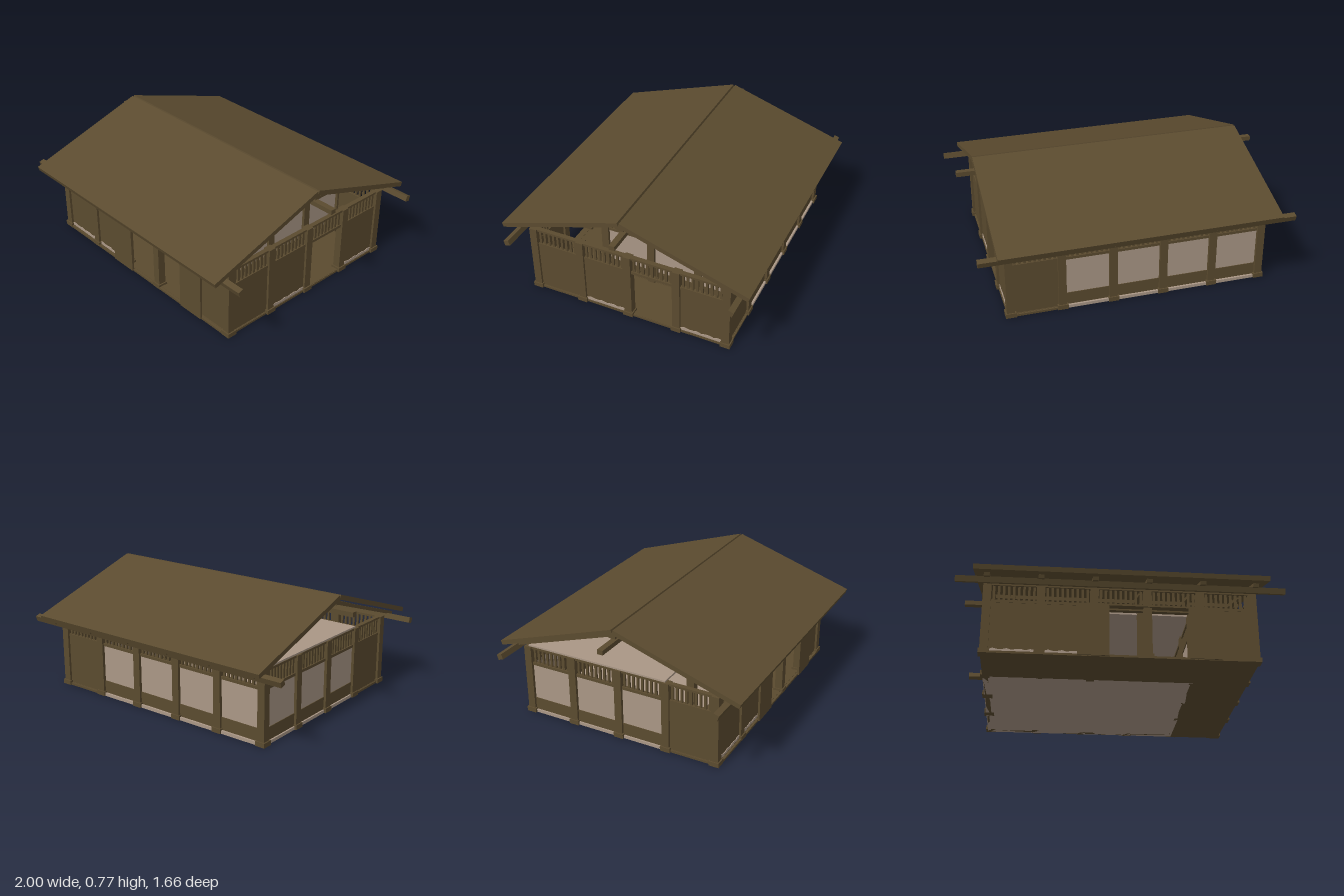
import * as THREE from 'three';

export function createModel() {
  const model = new THREE.Group();
  model.name = 'house';
  const wood = new THREE.MeshStandardMaterial({ color: 0x5b4b2f });
  wood.name = 'dark wood';
  const paper = new THREE.MeshStandardMaterial({ color: 0xaa9786 });
  paper.name = 'pale paper';

  function box(parent, name, mat, w, h, d, x, y, z) {
    const m = new THREE.Mesh(new THREE.BoxGeometry(w, h, d), mat);
    m.name = name;
    m.position.set(x, y, z);
    parent.add(m);
    return m;
  }

  // Post grid
  const xs = [-0.81, -0.486, -0.162, 0.162, 0.486, 0.81];
  const zs = [0.645, 0.316, -0.012, -0.341, -0.67];
  const POST = 0.05, TOP = 0.47;

  // Earth floor (L-shaped) and raised matted room
  box(model, 'frontEarthFloor', wood, 1.66, 0.014, 0.36, 0, 0.007, 0.496);
  box(model, 'sideEarthFloor', wood, 0.344, 0.014, 1.01, 0.658, 0.007, -0.189);
  box(model, 'roomFloor', paper, 1.316, 0.02, 1.01, -0.172, 0.01, -0.189);

  // Posts with footings: outer ring and the room edge
  for (const [i, x] of xs.entries()) {
    for (const [j, z] of zs.entries()) {
      const outer = i === 0 || i === 5 || j === 0 || j === 4;
      if (!outer && i !== 4 && j !== 1) continue;
      box(model, 'post', wood, POST, TOP, POST, x, TOP / 2, z);
      if (outer) box(model, 'footing', wood, 0.066, 0.03, 0.066, x, 0.015, z);
    }
  }

  // Uneven pale strip along the foot of a plank wall
  function footStrip(parent, len) {
    const s = new THREE.Shape();
    s.moveTo(-len / 2, 0.016);
    s.lineTo(len / 2, 0.016);
    for (let k = 0; k <= 10; k++) {
      s.lineTo(len / 2 - (len * k) / 10, 0.035 + 0.005 * Math.sin(k * 2.3));
    }
    const m = new THREE.Mesh(new THREE.ExtrudeGeometry(s, { depth: 0.004, bevelEnabled: false }), paper);
    m.name = 'footStrip';
    m.position.z = 0.011;
    parent.add(m);
  }

  // One wall bay; local +z is outward
  function bay(x, z, turn, span, kind, strip = false) {
    const g = new THREE.Group();
    g.name = kind + 'Bay';
    g.position.set(x, 0, z);
    g.rotation.y = turn;
    model.add(g);
    const w = span - POST;
    box(g, 'sill', wood, w, 0.016, 0.03, 0, 0.008, 0);
    box(g, 'middleRail', wood, w, 0.018, 0.024, 0, 0.351, 0);
    box(g, 'topRail', wood, w, 0.014, 0.03, 0, TOP - 0.007, 0);
    const n = 9;
    for (let k = 0; k < n; k++) {
      box(g, 'latticeBar', wood, 0.015, 0.1, 0.012, -w / 2 + (w * (k + 0.5)) / n, 0.408, 0);
    }
    if (kind === 'plank') box(g, 'plankWall', wood, w, 0.33, 0.02, 0, 0.179, 0);
    if (kind === 'screen') {
      box(g, 'lowerBoard', wood, w, 0.088, 0.02, 0, 0.058, 0);
      box(g, 'paperScreen', paper, w, 0.242, 0.012, 0, 0.222, 0);
    }
    if (strip) footStrip(g, w);
  }

  // Front and back walls
  const frontKinds = ['plank', 'plank', 'open', 'open', 'plank'];
  for (let i = 0; i < 5; i++) {
    const x = (xs[i] + xs[i + 1]) / 2;
    bay(x, zs[0], 0, 0.324, frontKinds[i], i < 2);
    bay(x, zs[4], Math.PI, 0.324, i < 4 ? 'screen' : 'plank');
  }
  // Side walls and the inner partition
  const rightKinds = ['plank', 'plank', 'open', 'plank'];
  for (let j = 0; j < 4; j++) {
    const z = (zs[j] + zs[j + 1]) / 2;
    bay(xs[5], z, Math.PI / 2, 0.329, rightKinds[j], j % 2 === 1);
    bay(xs[0], z, -Math.PI / 2, 0.329, j ? 'screen' : 'plank');
    if (j) bay(xs[4], z, Math.PI / 2, 0.329, 'screen');
  }

  // Sliding doors in front of the entrance, with track
  box(model, 'slidingDoor', wood, 0.19, 0.335, 0.014, -0.168, 0.172, 0.678);
  box(model, 'slidingDoor', wood, 0.19, 0.335, 0.014, 0.505, 0.172, 0.678);
  box(model, 'doorTrack', wood, 0.86, 0.012, 0.02, 0.17, 0.344, 0.672);

  // Ceiling over the matted room
  box(model, 'ceiling', paper, 1.32, 0.012, 0.98, -0.162, 0.475, -0.178);

  // Roof slabs, rafters and eave beams, mirrored about the ridge
  const slope = Math.atan(0.325);
  for (const s of [1, -1]) {
    const slab = box(model, 'roofSlab', wood, 1.78, 0.03, 0.866, 0, 0.621, s * 0.414);
    slab.rotation.x = s * slope;
    for (const x of xs) {
      const rafter = box(model, 'rafter', wood, 0.035, 0.022, 0.835, x, 0.587, s * 0.394);
      rafter.rotation.x = s * slope;
    }
    const eave = box(model, 'eaveBeam', wood, 2, 0.036, 0.036, 0, 0.453, s > 0 ? 0.728 : -0.757);
    eave.rotation.x = s * slope;
  }
  box(model, 'ridgeBeam', wood, 2, 0.03, 0.038, 0, 0.671, -0.014);
  box(model, 'ridgePole', wood, 1.76, 0.028, 0.045, 0, 0.722, -0.006);

  return model;
}
